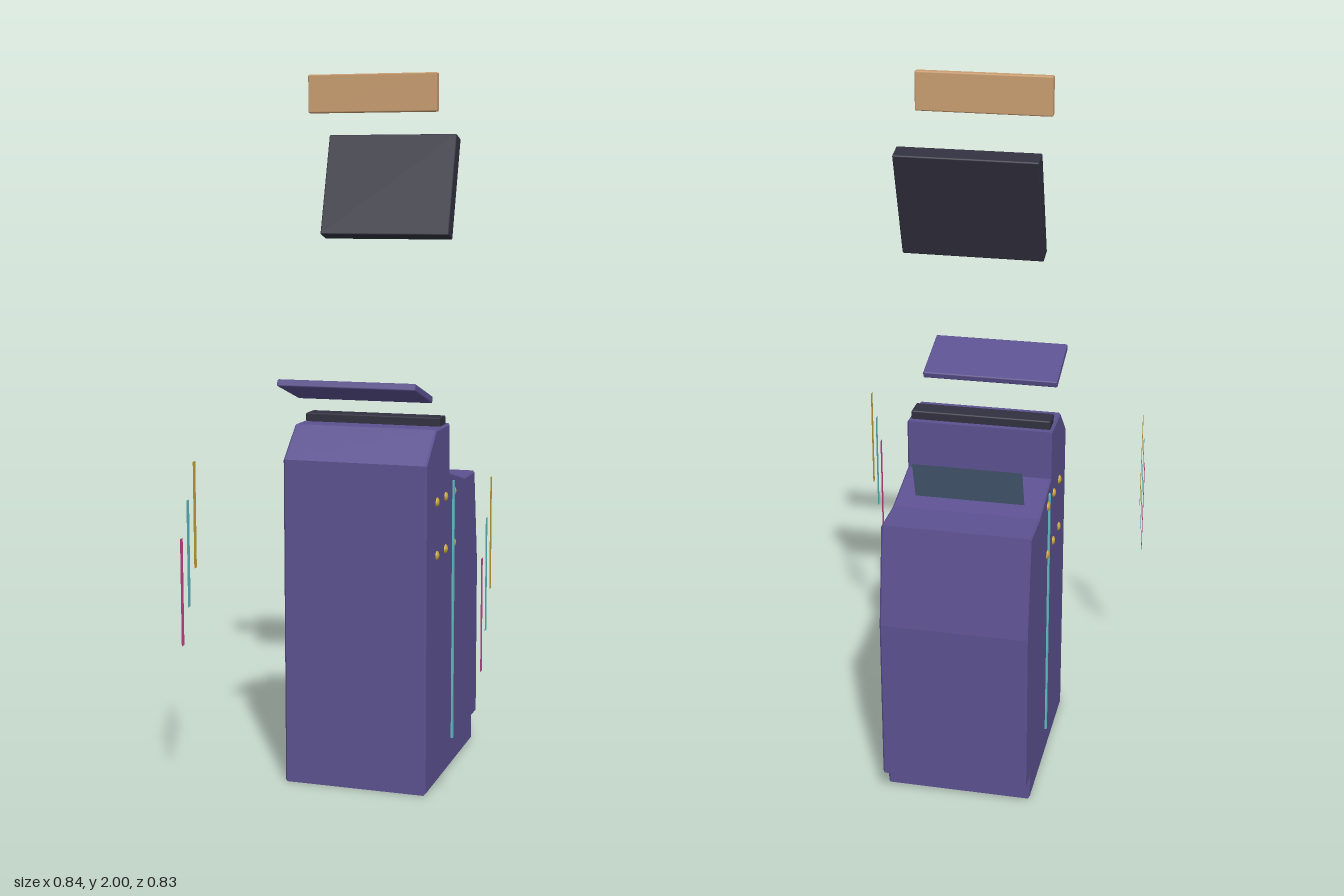
import * as THREE from 'three';
import { RoundedBoxGeometry } from 'three/addons/geometries/RoundedBoxGeometry.js';

const mat = (name, color, side = THREE.FrontSide) => {
  const m = new THREE.MeshStandardMaterial({ color, side });
  m.name = name;
  return m;
};

export function createModel() {
  const root = new THREE.Group();
  root.name = 'cabinet';

  const purple = mat('purple', 0x5c5190);
  const dark = mat('charcoal', 0x31303f);
  const wood = mat('tan', 0xc99d70);
  const glass = mat('slate glass', 0x4a5f78, THREE.DoubleSide);
  const gold = mat('gold', 0xc8a63c, THREE.DoubleSide);
  const cyan = mat('cyan', 0x5fbcc4, THREE.DoubleSide);
  const pink = mat('pink', 0xcc4490, THREE.DoubleSide);

  const add = (name, geo, material, x, y, z, rx = 0, ry = 0) => {
    const m = new THREE.Mesh(geo, material);
    m.name = name;
    m.position.set(x, y, z);
    m.rotation.set(rx, ry, 0);
    root.add(m);
    return m;
  };
  const slab = (w, h, d) => new RoundedBoxGeometry(w, h, d, 1, 0.004);

  // Body: side profile (z, y) extruded across the width
  const profile = [
    [0.18, 0], [0.18, 0.935], [0.08, 1.022], [-0.07, 1.022], [-0.07, 0.88],
    [-0.245, 0.837], [-0.37, 0.837], [-0.413, 0.55], [-0.413, 0.07],
    [-0.355, 0.07], [-0.355, 0],
  ];
  const bevel = 0.005, width = 0.416;
  const body = new THREE.ExtrudeGeometry(
    new THREE.Shape(profile.map(([z, y]) => new THREE.Vector2(z, y))),
    { depth: width - 2 * bevel, bevelSize: bevel, bevelThickness: bevel, bevelOffset: -bevel, bevelSegments: 1 },
  );
  body.translate(0, 0, -(width / 2 - bevel));
  body.rotateY(-Math.PI / 2);
  add('body', body, purple, 0, 0, 0);

  // Top parts, floating above one another
  add('topBar', slab(0.4, 0.035, 0.063), dark, 0, 1.029, -0.02);
  add('tiltedLid', slab(0.394, 0.02, 0.184), purple, 0, 1.133, 0.167, -0.3);
  add('screen', slab(0.384, 0.3, 0.05), dark, 0, 1.69, -0.166, -0.3);
  add('headerSign', slab(0.374, 0.106, 0.025), wood, 0, 1.947, 0.003);

  // Small glass pane standing on the rear slope
  add('glassPane', new THREE.PlaneGeometry(0.31, 0.124), glass, 0, 0.902, -0.208, -0.3);

  // Mirrored side details
  const stud = new THREE.SphereGeometry(0.014, 10, 8);
  const trim = new THREE.BoxGeometry(0.009, 0.77, 0.01);
  const strip = new THREE.PlaneGeometry(0.018, 0.3);
  for (const [side, s] of [['left', 1], ['right', -1]]) {
    add(side + 'TrimLine', trim, cyan, s * 0.209, 0.465, -0.105);

    for (const z of [0.07, -0.024, -0.117])
      for (const y of [0.817, 0.665])
        add(side + 'Stud', stud, gold, s * 0.206, y, z).scale.x = 0.7;

    [[gold, 0.79, 0.314], [cyan, 0.69, 0.361], [pink, 0.592, 0.408]].forEach(([m, y, z]) =>
      add(side + 'FloatingStrip', strip, m, s * 0.42, y, z, 0, s * Math.PI / 2));
  }
  return root;
}
